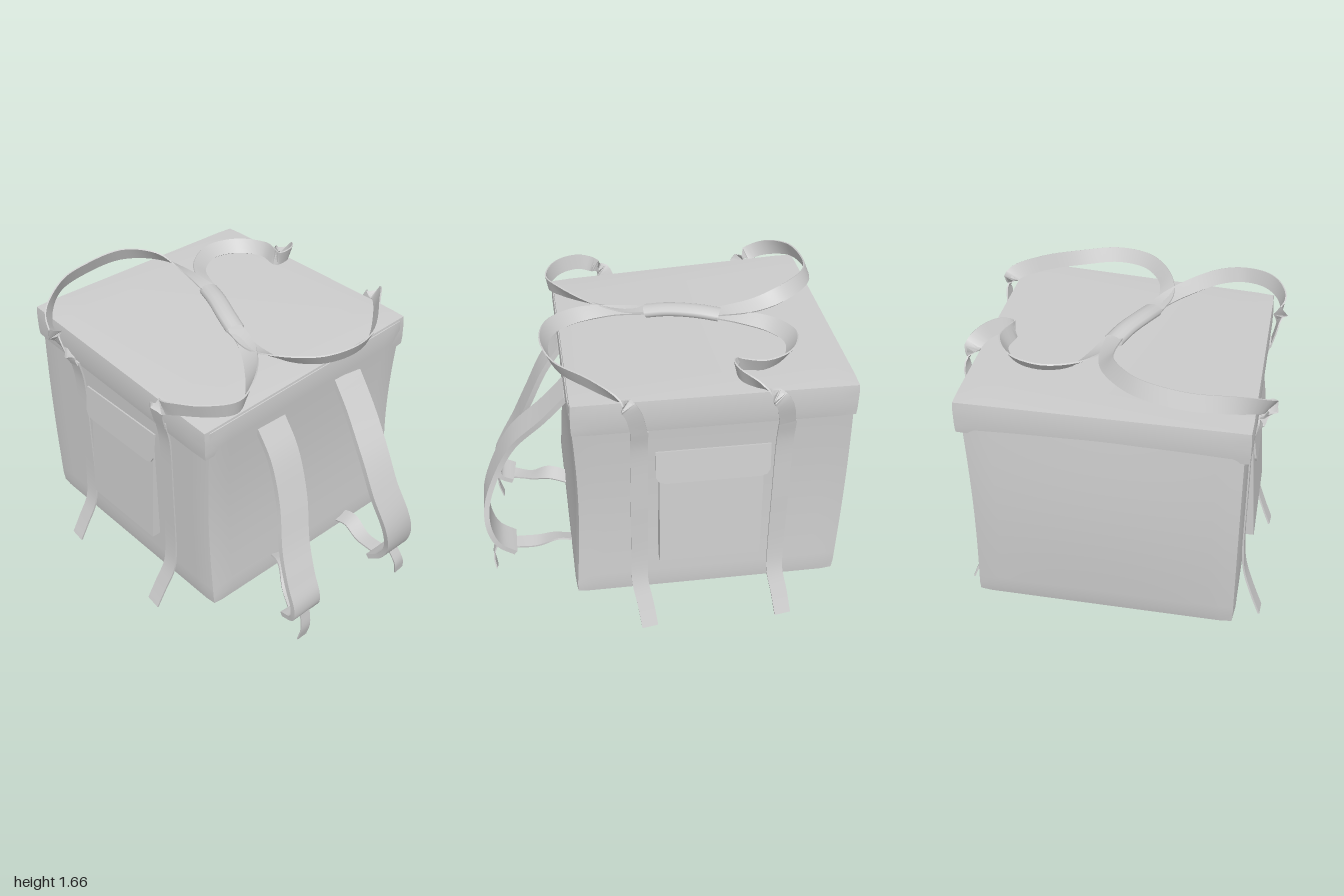
import * as THREE from 'three';
import { toCreasedNormals } from 'three/addons/utils/BufferGeometryUtils.js';

const material = new THREE.MeshStandardMaterial({ color: 0xcccccc, side: THREE.DoubleSide });

function part(name, geometry, parent) {
  const mesh = new THREE.Mesh(geometry, material);
  mesh.name = name;
  parent.add(mesh);
  return mesh;
}

// Flat band along a path; each row is x, y, z and the direction across the band
function band(rows, width, thickness, samples = 36) {
  const path = new THREE.CatmullRomCurve3(rows.map(r => new THREE.Vector3(r[0], r[1], r[2])));
  const across = new THREE.CatmullRomCurve3(rows.map(r => new THREE.Vector3(r[3], r[4], r[5])));
  const rings = [];
  for (let i = 0; i <= samples; i++) {
    const t = i / samples;
    const p = path.getPoint(t), tangent = path.getTangent(t), w = across.getPoint(t);
    w.addScaledVector(tangent, -w.dot(tangent)).normalize();
    const n = tangent.cross(w).normalize();
    rings.push([[-1, -1], [1, -1], [1, 1], [-1, 1]].map(([a, b]) =>
      p.clone().addScaledVector(w, a * width / 2).addScaledVector(n, b * thickness / 2)));
  }
  const pos = [];
  const quad = (a, b, c, d) => [a, b, c, a, c, d].forEach(v => pos.push(v.x, v.y, v.z));
  for (let i = 0; i < samples; i++) {
    const r = rings[i], s = rings[i + 1];
    for (let k = 0; k < 4; k++) {
      const j = (k + 1) % 4;
      quad(r[k], r[j], s[j], s[k]);
    }
  }
  const e = rings[samples], f = rings[0];
  quad(e[0], e[1], e[2], e[3]);
  quad(f[3], f[2], f[1], f[0]);
  const g = new THREE.BufferGeometry();
  g.setAttribute('position', new THREE.Float32BufferAttribute(pos, 3));
  return toCreasedNormals(g, 0.8);
}

// Subdivided box between two corners with softened edges, then bent by a rule
function softBox(min, max, radius, segments, bend) {
  const lo = new THREE.Vector3(...min), hi = new THREE.Vector3(...max);
  const size = hi.clone().sub(lo), mid = lo.clone().add(hi).multiplyScalar(0.5);
  const g = new THREE.BoxGeometry(size.x, size.y, size.z, ...segments);
  g.translate(mid.x, mid.y, mid.z);
  const pos = g.attributes.position, v = new THREE.Vector3();
  const a = lo.clone().addScalar(radius), b = hi.clone().subScalar(radius);
  for (let i = 0; i < pos.count; i++) {
    v.fromBufferAttribute(pos, i);
    const core = v.clone().clamp(a, b);
    v.sub(core).setLength(radius).add(core);
    bend(v);
    pos.setXYZ(i, v.x, v.y, v.z);
  }
  return toCreasedNormals(g, 0.7);
}

// The front right top corner sags
function sag(v) {
  const fx = THREE.MathUtils.clamp((0.73 - v.x) / 1.46, 0, 1);
  const fz = THREE.MathUtils.clamp((v.z + 0.97) / 1.47, 0, 1);
  const fy = THREE.MathUtils.clamp((v.y - 0.18) / 1.28, 0, 1);
  v.y -= 0.08 * fx * fz * fy;
}

function extrude(points, depth) {
  const shape = new THREE.Shape(points.map(p => new THREE.Vector2(...p)));
  return new THREE.ExtrudeGeometry(shape, { depth, bevelEnabled: false });
}

export function createModel() {
  const bag = new THREE.Group();
  bag.name = 'insulatedBackpack';

  // Box body: left and front walls pinched, back wall bulging
  part('body', softBox([-0.705, 0.18, -0.955], [0.705, 1.452, 0.51], 0.03, [20, 20, 20], v => {
    const k = Math.sin(Math.PI * THREE.MathUtils.clamp((v.y - 0.18) / 1.27, 0, 1));
    const across = Math.max(0, 1 - (v.x / 0.72) ** 2);
    if (v.x > 0) v.x -= 0.025 * k * (v.x / 0.7);
    if (v.z > 0) v.z -= 0.03 * k * (v.z / 0.51);
    else v.z -= (0.02 + 0.012 * across) * k * (v.z / -0.955);
    sag(v);
  }), bag);

  // Lid with overhanging side flaps
  part('lid', softBox([-0.73, 1.27, -0.965], [0.73, 1.462, 0.5], 0.02, [14, 4, 14], sag), bag);

  // Side pockets and vertical webbing, mirrored
  for (const side of [1, -1]) {
    const group = new THREE.Group();
    group.name = side > 0 ? 'leftSide' : 'rightSide';
    group.scale.x = side;
    bag.add(group);

    const pocket = part('pocket', extrude([[0.66, 1.08], [0.712, 1.08], [0.757, 0.42], [0.66, 0.42]], 0.55), group);
    pocket.position.z = -0.5;

    const flap = part('pocketFlap', extrude([[-0.3, 0.19], [-0.3, 0.04], [-0.285, 0.012], [-0.25, 0],
      [0.25, 0], [0.285, 0.012], [0.3, 0.04], [0.3, 0.19]], 0.01), group);
    flap.position.set(0.732, 0.94, -0.23);
    flap.rotation.set(0, Math.PI / 2, 0);
    flap.rotateX(-0.13);

    for (const z of [0.155, -0.6]) {
      part('sideStrap', band([
        [0.83, 0.0, z - 0.042, 0, 0, 1], [0.78, 0.12, z - 0.025, 0, 0, 1], [0.73, 0.26, z, 0, 0, 1],
        [0.712, 0.4, z, 0, 0, 1], [0.708, 0.8, z, 0, 0, 1], [0.712, 1.15, z, 0, 0, 1], [0.736, 1.28, z, 0, 0, 1],
      ], 0.09, 0.01), group);
    }
  }

  // Carrying loops running from the side webbing to the grip
  const loops = {
    frontLeftLoop: [
      [0.736, 1.27, 0.155, 0, 0, 1], [0.76, 1.41, 0.19, 0, 0.3, 1], [0.755, 1.49, 0.25, 0.2, 0.8, 0.6],
      [0.62, 1.51, 0.38, 0.3, 1, 0.2], [0.4, 1.49, 0.54, 0.2, 1, 0.4], [0.2, 1.5, 0.59, 0, 1, 0.5],
      [0.02, 1.5, 0.54, -0.4, 1, 0.5], [-0.1, 1.49, 0.39, -0.8, 0.8, 0.2], [-0.14, 1.48, 0.2, -1, 0.2, 0],
      [-0.1, 1.49, 0.0, -1, 0, -0.3]],
    frontRightLoop: [
      [-0.736, 1.25, 0.155, 0, 0, 1], [-0.77, 1.39, 0.18, 0, 0.3, 1], [-0.78, 1.46, 0.31, -0.2, 1, 0.2],
      [-0.69, 1.48, 0.46, -0.2, 1, 0.2], [-0.54, 1.47, 0.53, 0, 1, 0.2], [-0.4, 1.48, 0.46, 0.4, 1, 0.3],
      [-0.22, 1.48, 0.27, 0.8, 0.6, 0.6], [-0.13, 1.485, 0.12, 1, 0.2, 0.4], [-0.09, 1.5, -0.02, 1, 0, 0.4]],
    backRightLoop: [
      [-0.736, 1.25, -0.6, 0, 0, 1], [-0.79, 1.4, -0.65, 0, 0.5, -1], [-0.77, 1.48, -0.76, -0.2, 1, -0.2],
      [-0.6, 1.56, -0.89, 0.1, 1, 0.3], [-0.4, 1.585, -0.93, 0, 1, 0.4], [-0.16, 1.61, -0.89, -0.2, 1, 0.4],
      [-0.01, 1.6, -0.74, -0.7, 1, 0.3], [0.04, 1.56, -0.57, -1, 0.5, 0], [0.04, 1.53, -0.35, -1, 0, -0.2]],
    backLeftLoop: [
      [0.736, 1.27, -0.6, 0, 0, 1], [0.77, 1.42, -0.56, 0, 0.3, 1], [0.745, 1.5, -0.46, 0.2, 0.7, 0.6],
      [0.66, 1.53, -0.36, 0.2, 1, 0.2], [0.57, 1.53, -0.36, 0.2, 1, 0.3], [0.59, 1.53, -0.5, 0.5, 1, 0],
      [0.5, 1.53, -0.64, 0.5, 1, -0.5], [0.34, 1.53, -0.69, 0, 0.8, -0.7], [0.19, 1.52, -0.62, -0.6, 0.6, -0.4],
      [0.1, 1.52, -0.48, -1, 0.3, 0], [0.05, 1.52, -0.35, -1, 0, -0.3]],
  };
  for (const name in loops) part(name, band(loops[name], 0.085, 0.008, 50), bag);

  // Arched, padded grip
  const gripPath = new THREE.CatmullRomCurve3([[-0.095, 0, 0.01], [-0.06, 0.035, -0.1],
    [0, 0.055, -0.25], [0.045, 0.045, -0.37]].map(p => new THREE.Vector3(...p)));
  const grip = part('grip', new THREE.TubeGeometry(gripPath, 12, 0.054, 12), bag);
  grip.scale.y = 0.6;
  grip.position.y = 1.49;

  // Padded shoulder straps, lower webbing and loose tails
  const X = [1, 0, 0];
  part('leftShoulderStrap', band([
    [0.275, 1.27, 0.49, ...X], [0.255, 1.12, 0.62, ...X], [0.205, 0.93, 0.79, ...X], [0.195, 0.75, 0.89, ...X],
    [0.23, 0.55, 0.965, ...X], [0.265, 0.4, 0.965, ...X], [0.275, 0.29, 0.92, ...X], [0.275, 0.22, 0.83, ...X],
  ], 0.19, 0.03), bag);
  part('rightShoulderStrap', band([
    [-0.285, 1.23, 0.49, ...X], [-0.285, 1.08, 0.59, ...X], [-0.31, 0.85, 0.69, ...X], [-0.37, 0.62, 0.78, ...X],
    [-0.4, 0.45, 0.86, ...X], [-0.405, 0.33, 0.91, ...X], [-0.4, 0.25, 0.9, ...X], [-0.39, 0.21, 0.82, ...X],
  ], 0.19, 0.03), bag);
  part('leftLowerWebbing', band([
    [0.275, 0.22, 0.84, ...X], [0.28, 0.22, 0.7, ...X], [0.3, 0.26, 0.58, 1, 0.3, 0], [0.3, 0.24, 0.48, 1, 0.3, 0],
  ], 0.09, 0.01, 16), bag);
  part('rightLowerWebbing', band([
    [-0.39, 0.21, 0.83, ...X], [-0.33, 0.23, 0.72, 1, 0.2, 0], [-0.26, 0.29, 0.6, 1, -0.3, 0], [-0.22, 0.27, 0.48, 1, -0.3, 0],
  ], 0.09, 0.01, 16), bag);
  part('leftTail', band([
    [0.29, 0.28, 0.92, ...X], [0.31, 0.19, 0.955, ...X], [0.335, 0.1, 0.945, ...X],
  ], 0.065, 0.008, 8), bag);
  part('rightTail', band([
    [-0.405, 0.25, 0.91, ...X], [-0.405, 0.14, 0.92, ...X], [-0.405, 0.04, 0.895, ...X],
  ], 0.065, 0.008, 8), bag);

  return bag;
}
